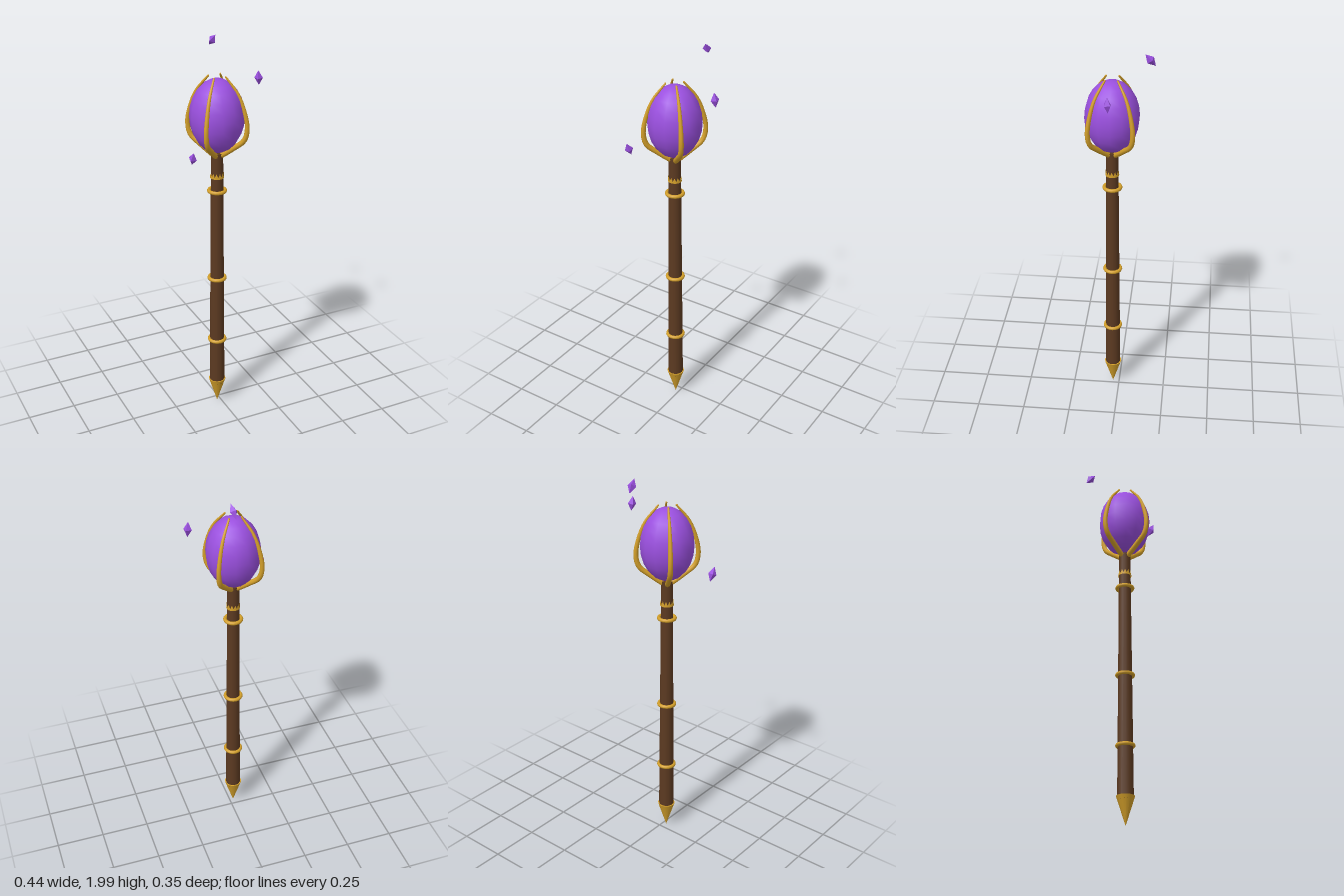
import * as THREE from 'three';

const mat = (name, color, extra = {}) => {
  const m = new THREE.MeshStandardMaterial({ color, ...extra });
  m.name = name;
  return m;
};

export function createModel() {
  const wood = mat('dark wood', 0x5c3a21);
  const gold = mat('gold', 0xd4a02a);
  const goldOpen = mat('gold', 0xd4a02a, { side: THREE.DoubleSide });
  const purple = mat('purple crystal', 0x9b50e0);
  const purpleFlat = mat('purple crystal', 0x9b50e0, { flatShading: true });

  const model = new THREE.Group();
  model.name = 'staff';
  // everything but the floating shards shares one upright axis
  const staff = new THREE.Group();
  staff.name = 'staffBody';
  staff.position.set(-0.02, 0, 0.034);
  model.add(staff);

  const add = (parent, name, geometry, material, x = 0, y = 0, z = 0) => {
    const mesh = new THREE.Mesh(geometry, material);
    mesh.name = name;
    mesh.position.set(x, y, z);
    parent.add(mesh);
    return mesh;
  };

  // Tapered shaft
  add(staff, 'shaft', new THREE.CylinderGeometry(0.03, 0.04, 1.33, 12), wood, 0, 0.795);

  // Pointed metal foot
  const foot = add(staff, 'footSpike', new THREE.ConeGeometry(0.046, 0.145, 12), gold, 0, 0.0765);
  foot.rotation.x = Math.PI;

  // Binding rings
  for (const y of [0.4, 0.77, 1.26]) {
    const ring = add(staff, 'bindingRing', new THREE.TorusGeometry(0.041, 0.0095, 8, 20), gold, 0, y);
    ring.rotation.x = Math.PI / 2;
  }

  // Thin zigzag collar: every other top vertex is lowered
  const collar = new THREE.CylinderGeometry(0.033, 0.0345, 0.03, 24, 1, true);
  const cp = collar.attributes.position;
  for (let i = 1; i <= 24; i += 2) cp.setY(i, -0.006);
  add(staff, 'zigzagCollar', collar, goldOpen, 0, 1.345);

  // Egg-shaped crystal
  const orb = add(staff, 'crystalOrb', new THREE.SphereGeometry(0.135, 14, 12), purple, 0, 1.65);
  orb.scale.y = 1.37;

  // Tapered claw tube, bent in the XY plane
  const path = new THREE.CatmullRomCurve3([
    [0.01, 1.44], [0.085, 1.495], [0.138, 1.54], [0.153, 1.6],
    [0.137, 1.69], [0.104, 1.77], [0.044, 1.846],
  ].map(([r, y]) => new THREE.Vector3(r, y, 0)));
  const steps = 24, sides = 8;
  const claw = new THREE.TubeGeometry(path, steps, 1, sides, false);
  const p = claw.attributes.position;
  const v = new THREE.Vector3();
  for (let i = 0; i <= steps; i++) {
    const t = i / steps;
    const centre = path.getPointAt(t);
    const radius = 0.014 - 0.0095 * t * t;
    for (let j = 0; j <= sides; j++) {
      const k = i * (sides + 1) + j;
      v.fromBufferAttribute(p, k).sub(centre).multiplyScalar(radius).add(centre);
      p.setXYZ(k, v.x, v.y, v.z);
    }
  }
  claw.computeBoundingSphere();

  // Four claws on the diagonals, each with a rounded tip
  for (let i = 0; i < 4; i++) {
    const prong = new THREE.Group();
    prong.name = 'claw';
    prong.rotation.y = Math.PI / 4 + i * Math.PI / 2;
    staff.add(prong);
    add(prong, 'clawArm', claw, gold);
    add(prong, 'clawTip', new THREE.SphereGeometry(0.0045, 8, 6), gold, 0.044, 1.846);
  }

  // Floating shards: position, then tilt
  const shardGeometry = new THREE.OctahedronGeometry(1);
  shardGeometry.scale(0.021, 0.038, 0.021);
  for (const [pos, rot] of [
    [[0.042, 1.97, -0.15], [0.75, 0.4, -0.15]],
    [[0.202, 1.81, 0.034], [-0.05, 0.9, 0.15]],
    [[-0.205, 1.503, 0.157], [0.4, 0.7, 0.05]],
  ]) {
    add(model, 'floatingShard', shardGeometry, purpleFlat, ...pos).rotation.set(...rot);
  }

  return model;
}
